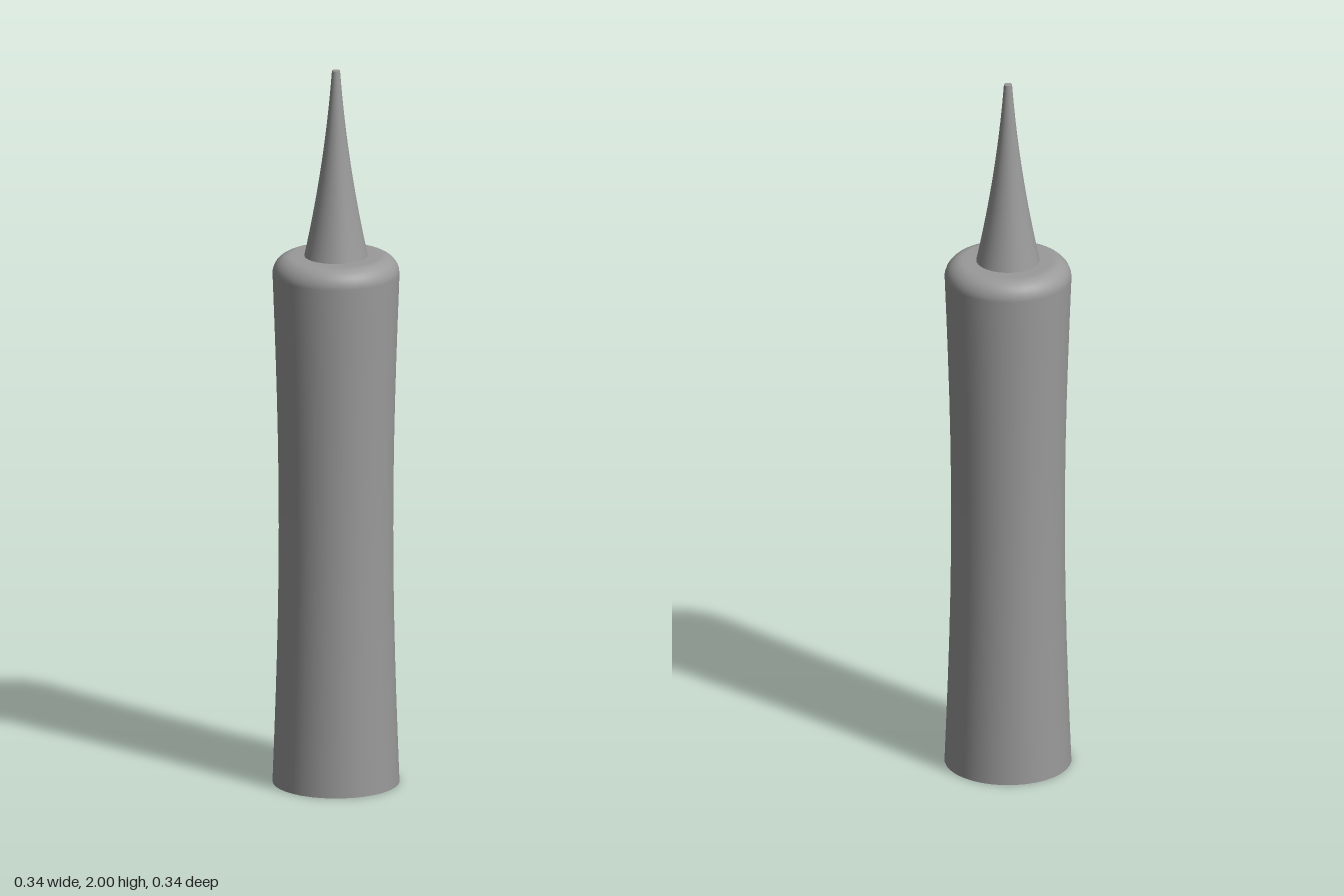
import * as THREE from 'three';

const SEGMENTS = 36;
const TOP = 1.48;
const material = new THREE.MeshStandardMaterial({ color: 0x9a9a9a });

function lathe(name, points) {
  const mesh = new THREE.Mesh(new THREE.LatheGeometry(points, SEGMENTS), material);
  mesh.name = name;
  return mesh;
}

function disc(name, radius, y, up) {
  const mesh = new THREE.Mesh(new THREE.CircleGeometry(radius, SEGMENTS), material);
  mesh.rotation.x = up ? -Math.PI / 2 : Math.PI / 2;
  mesh.position.y = y;
  mesh.name = name;
  return mesh;
}

export function createModel() {
  const group = new THREE.Group();
  group.name = 'awl';

  // Handle: slightly waisted grip with a rounded shoulder
  const rim = 0.05, radius = 0.172, gripTop = TOP - rim;
  const profile = [];
  for (let i = 0; i < 12; i++) {
    const t = i / 12;
    profile.push(new THREE.Vector2(radius - 0.009 * Math.sin(Math.PI * t), gripTop * t));
  }
  for (let i = 0; i <= 8; i++) {
    const a = (i / 8) * Math.PI / 2;
    profile.push(new THREE.Vector2(radius - rim + rim * Math.cos(a), gripTop + rim * Math.sin(a)));
  }
  profile.push(new THREE.Vector2(0.08, TOP), new THREE.Vector2(0, TOP));
  const handle = lathe('handle', profile);

  // The waist is slightly oval, its narrow axis turned off the x axis
  const pos = handle.geometry.attributes.position;
  for (let i = 0; i < pos.count; i++) {
    const t = Math.min(pos.getY(i) / gripTop, 1);
    pos.setX(i, pos.getX(i) * (1 - 0.055 * Math.sin(Math.PI * t)));
  }
  handle.rotation.y = -0.43;
  const base = disc('handleBase', radius, 0, false);
  group.add(handle, base);

  // Spike: concave taper to a small blunt tip
  const curve = new THREE.QuadraticBezierCurve(
    new THREE.Vector2(0.086, TOP),
    new THREE.Vector2(0.03, 1.74),
    new THREE.Vector2(0.011, 2));
  group.add(lathe('spike', curve.getPoints(16)), disc('spikeTip', 0.011, 2, true));

  return group;
}
